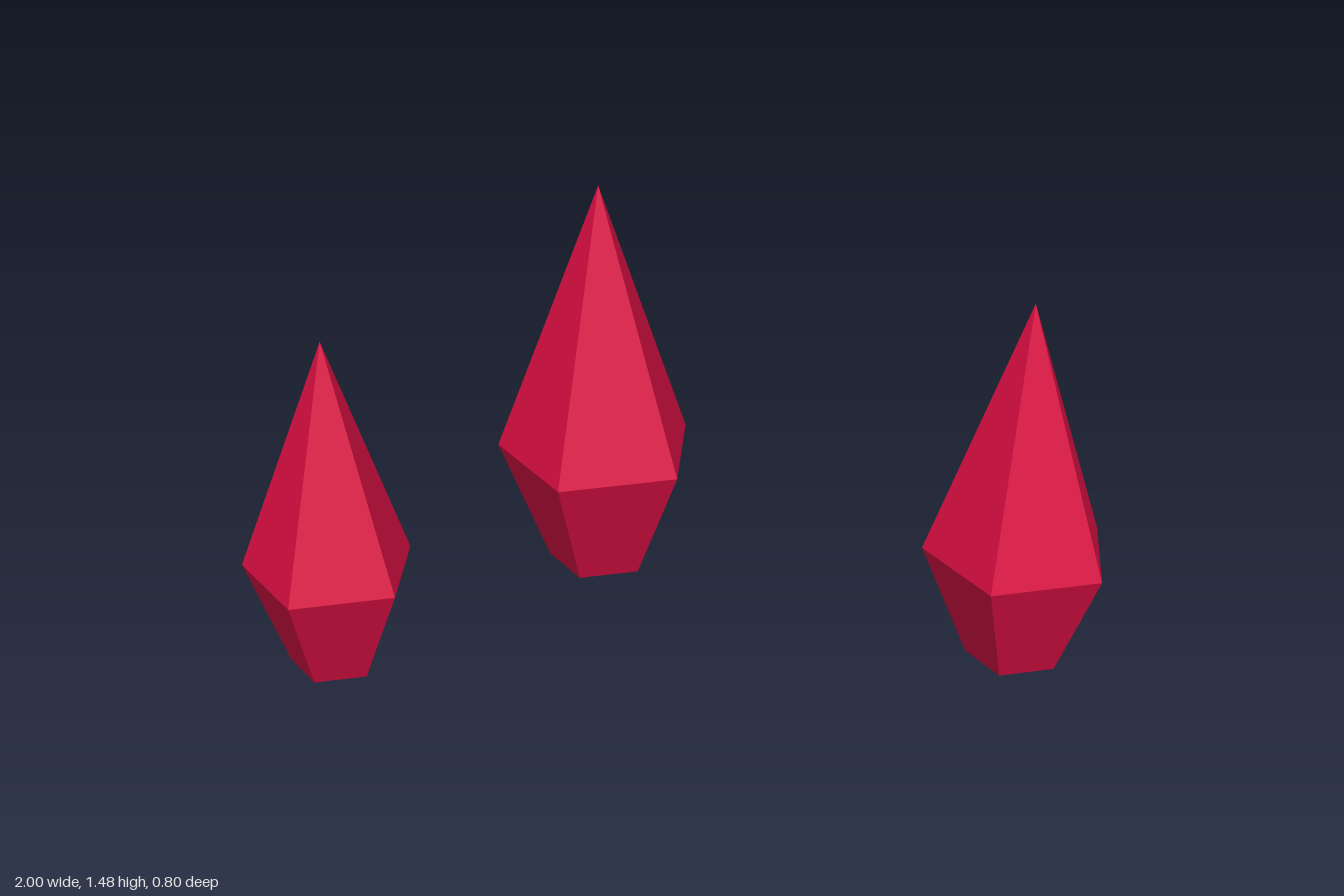
import * as THREE from 'three';
import { mergeGeometries } from 'three/addons/utils/BufferGeometryUtils.js';

const SIDES = 5;
const TURN = THREE.MathUtils.degToRad(-4.5);
const RADIUS = 0.208;      // widest ring
const BASE_RADIUS = 0.104; // flat foot
const BASE_HEIGHT = 0.25;
const TIP_HEIGHT = 0.58;

// One crystal: a tapered pentagonal base under a long pointed tip
function crystalGeometry() {
  const base = new THREE.CylinderGeometry(RADIUS, BASE_RADIUS, BASE_HEIGHT, SIDES, 1, true, TURN);
  base.translate(0, BASE_HEIGHT / 2, 0);

  const tip = new THREE.ConeGeometry(RADIUS, TIP_HEIGHT, SIDES, 1, true, TURN);
  tip.translate(0, BASE_HEIGHT + TIP_HEIGHT / 2, 0);

  const foot = new THREE.CircleGeometry(BASE_RADIUS, SIDES, TURN + Math.PI / 2);
  foot.rotateX(Math.PI / 2);
  // the flipped disc measures its angle from +x toward +z, so start it on the front corner
  foot.rotateY(2 * TURN);

  return mergeGeometries([base, tip, foot]);
}

export function createModel() {
  const model = new THREE.Group();
  model.name = 'floatingCrystals';

  const crimson = new THREE.MeshStandardMaterial({ color: 0xdc1043, flatShading: true });
  crimson.name = 'crimson';

  const geometry = crystalGeometry();
  const crystals = [
    ['rightCrystal', -0.798, 0, -0.223],
    ['middleCrystal', 0.003, 0.645, 0.193],
    ['leftCrystal', 0.806, 0.325, -0.223],
  ];
  for (const [name, x, y, z] of crystals) {
    const crystal = new THREE.Mesh(geometry, crimson);
    crystal.name = name;
    crystal.position.set(x, y, z);
    model.add(crystal);
  }
  return model;
}
